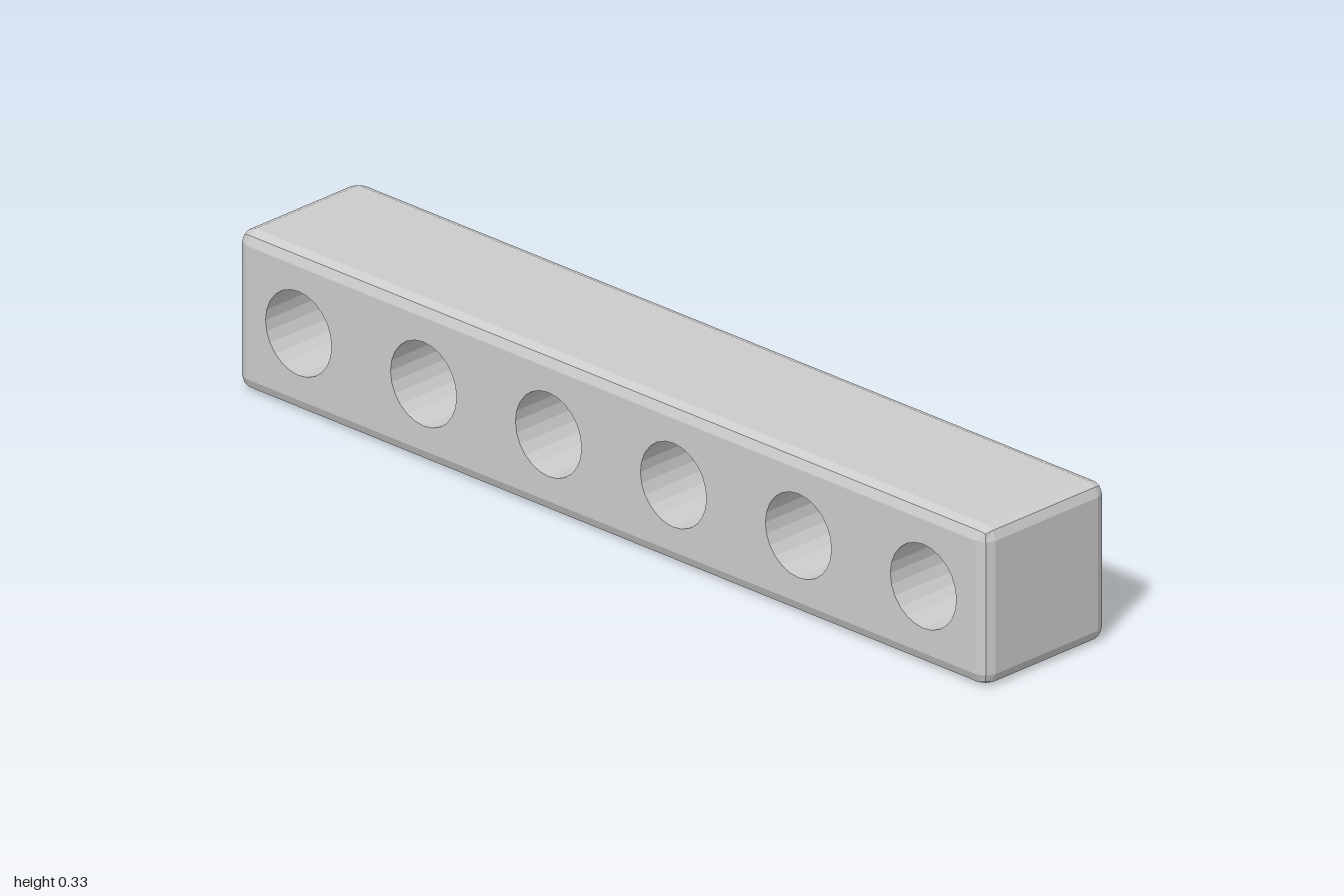
import * as THREE from 'three';
import { RoundedBoxGeometry } from 'three/addons/geometries/RoundedBoxGeometry.js';

const LENGTH = 2, SIZE = 1 / 3, BEVEL = 0.027;
const HOLES = 6, HOLE_R = 0.088, SIDES = 24;
const holeX = (i) => (i - (HOLES - 1) / 2) * SIZE;

// Bevelled box without its flat front and back faces
function shellGeometry() {
  const box = new RoundedBoxGeometry(LENGTH, SIZE, SIZE, 1, BEVEL);
  const src = box.index ? box.toNonIndexed() : box;
  const p = src.attributes.position;
  const kept = [];
  for (let t = 0; t < p.count; t += 3) {
    const corners = [t, t + 1, t + 2];
    if (corners.every((i) => Math.abs(p.getZ(i)) > SIZE / 2 - 1e-5)) continue;
    for (const i of corners) kept.push(p.getX(i), p.getY(i), p.getZ(i));
  }
  const geo = new THREE.BufferGeometry();
  geo.setAttribute('position', new THREE.Float32BufferAttribute(kept, 3));
  geo.computeVertexNormals();
  return geo;
}

// Flat face pierced by the row of round holes
function faceGeometry() {
  const w = LENGTH / 2 - BEVEL, h = SIZE / 2 - BEVEL;
  const shape = new THREE.Shape([[-w, -h], [w, -h], [w, h], [-w, h]].map(([x, y]) => new THREE.Vector2(x, y)));
  for (let i = 0; i < HOLES; i++) {
    const ring = [];
    for (let k = 0; k < SIDES; k++) {
      const a = (k / SIDES) * Math.PI * 2;
      ring.push(new THREE.Vector2(holeX(i) + HOLE_R * Math.cos(a), HOLE_R * Math.sin(a)));
    }
    shape.holes.push(new THREE.Path(ring));
  }
  return new THREE.ShapeGeometry(shape);
}

// Open tube turned inside out, running along z
function boreGeometry() {
  const tube = new THREE.CylinderGeometry(HOLE_R, HOLE_R, SIZE, SIDES, 1, true);
  const geo = tube.rotateX(Math.PI / 2).scale(-1, 1, 1).toNonIndexed();
  geo.computeVertexNormals();
  return geo;
}

export function createModel() {
  const material = new THREE.MeshStandardMaterial({ color: 0xcccccc, flatShading: true });
  const model = new THREE.Group();
  model.name = 'perforatedBeam';
  const add = (name, geometry, x = 0, z = 0) => {
    const mesh = new THREE.Mesh(geometry, material);
    mesh.name = name;
    mesh.position.set(x, SIZE / 2, z);
    model.add(mesh);
    return mesh;
  };

  add('beamShell', shellGeometry());

  const face = faceGeometry();
  add('frontFace', face, 0, SIZE / 2);
  add('backFace', face, 0, -SIZE / 2).rotation.y = Math.PI;

  const bore = boreGeometry();
  for (let i = 0; i < HOLES; i++) add('holeWall' + (i + 1), bore, holeX(i));

  return model;
}
